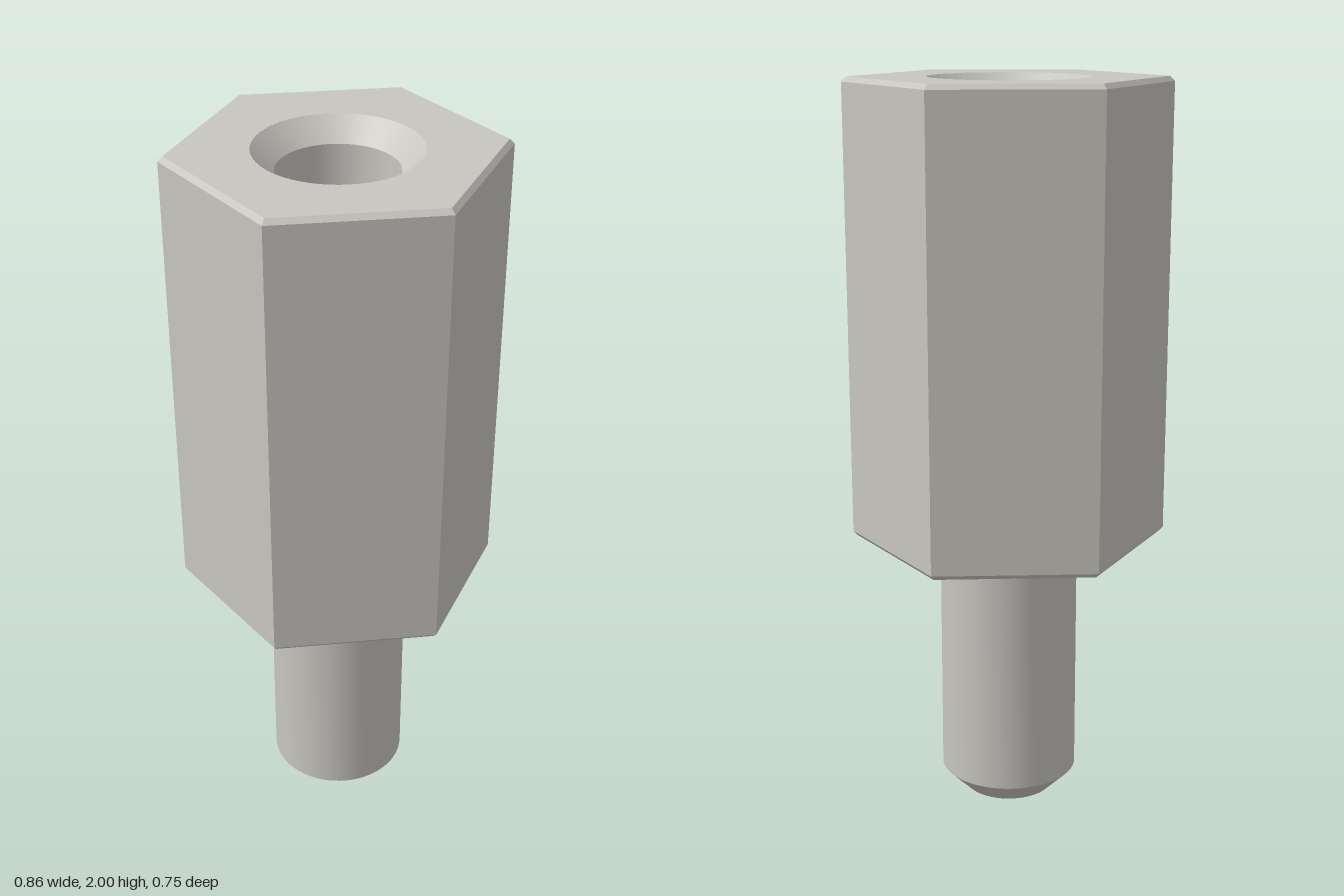
import * as THREE from 'three';
import { toCreasedNormals } from 'three/addons/utils/BufferGeometryUtils.js';

const HEX_R = 0.432;       // corner radius of the hex body
const BASE = 0.755;        // underside of the hex body
const TOP = 2;
const BEVEL = 0.013;       // hex edge chamfer
const RIM_R = 0.212;       // countersink rim
const SEGMENTS = 64;

// Revolves [radius, y] points; sharp profile corners stay sharp
function turned(points, sides, start = 0) {
  const profile = points.map(([r, y]) => new THREE.Vector2(r, y));
  return toCreasedNormals(new THREE.LatheGeometry(profile, sides, start), Math.PI / 6);
}

export function createModel() {
  const group = new THREE.Group();
  const steel = new THREE.MeshStandardMaterial({ color: 0xc8c6c0 });
  steel.name = 'steel';

  const add = (name, geometry) => {
    const mesh = new THREE.Mesh(geometry, steel);
    mesh.name = name;
    group.add(mesh);
    return mesh;
  };

  // Hex body: underside, chamfers and six flats
  const inner = HEX_R - BEVEL;
  add('hexBody', turned([
    [0, BASE], [inner, BASE], [HEX_R, BASE + BEVEL],
    [HEX_R, TOP - BEVEL], [inner, TOP],
  ], 6, Math.PI / 6));

  // Top face with a round opening
  const face = new THREE.Shape();
  for (let i = 0; i < 6; i++) {
    const a = (i * Math.PI) / 3;
    face[i ? 'lineTo' : 'moveTo'](inner * Math.cos(a), inner * Math.sin(a));
  }
  face.closePath();
  face.holes.push(new THREE.Path().absarc(0, 0, RIM_R, 0, Math.PI * 2, true));
  const topFace = add('topFace', new THREE.ShapeGeometry(face, SEGMENTS));
  topFace.rotation.x = -Math.PI / 2;
  topFace.position.y = TOP;

  // Countersunk blind hole, from the rim down to the floor
  add('hole', turned([
    [RIM_R, TOP], [0.155, TOP - 0.057], [0.155, 1.2], [0, 1.2],
  ], SEGMENTS));

  // Round stud with a chamfered tip
  add('stud', turned([
    [0, 0], [0.125, 0], [0.19, 0.065], [0.19, BASE],
  ], SEGMENTS));

  return group;
}
